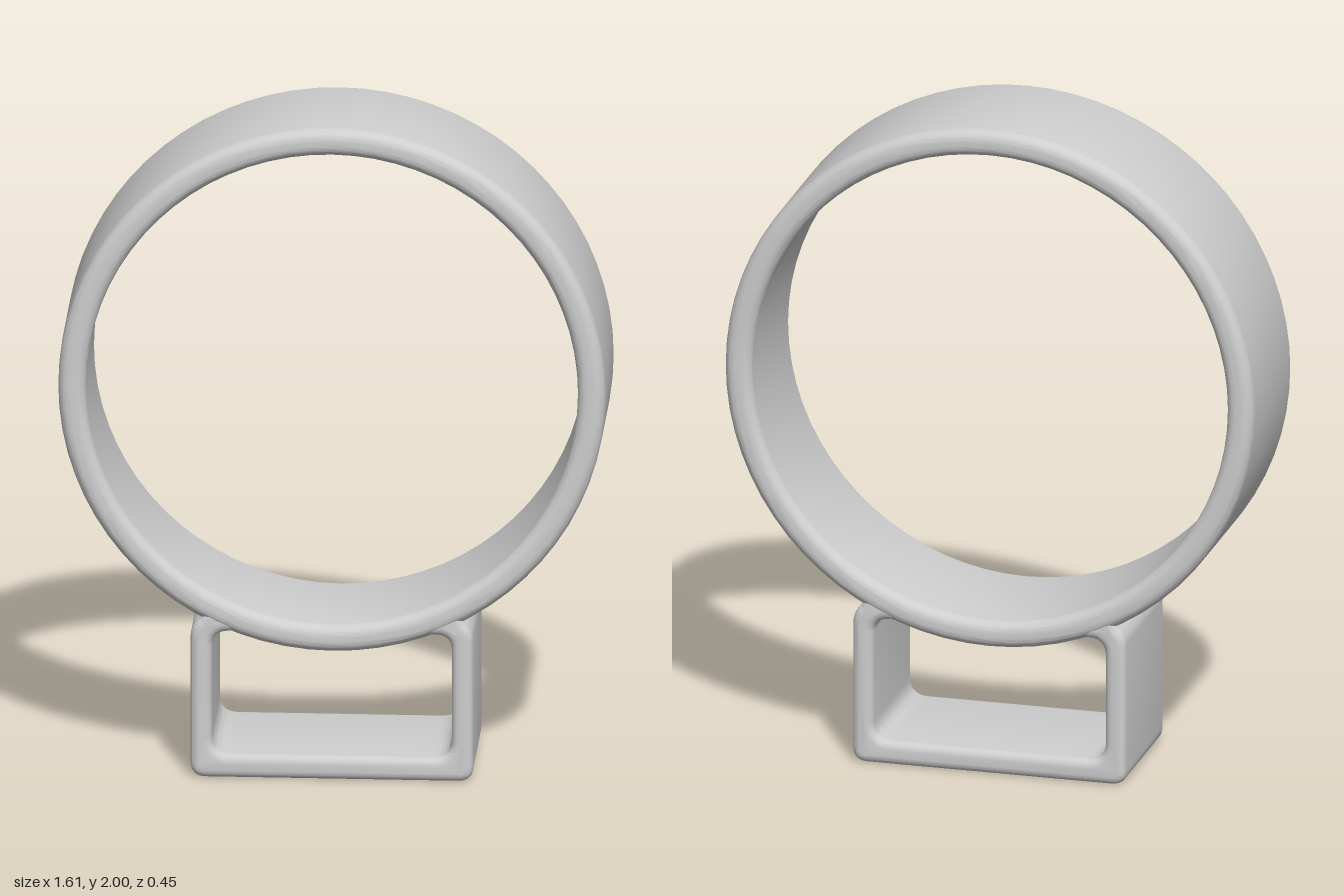
import * as THREE from 'three';
import { toCreasedNormals } from 'three/addons/utils/BufferGeometryUtils.js';

const CY = 1.196;    // height of the ring centre
const OUTER = 0.804;
const INNER = 0.722;
const HALF = 0.226;  // half depth of the band

// Closed band with a rounded rectangular section, swept about the z axis
function ringGeometry() {
  const r = 0.034, q = Math.PI / 2;
  const section = new THREE.Path();
  section.moveTo(OUTER, -HALF + r);
  section.lineTo(OUTER, HALF - r);
  section.absarc(OUTER - r, HALF - r, r, 0, q, false);
  section.absarc(INNER + r, HALF - r, r, q, 2 * q, false);
  section.absarc(INNER + r, -HALF + r, r, 2 * q, 3 * q, false);
  section.absarc(OUTER - r, -HALF + r, r, 3 * q, 4 * q, false);
  return toCreasedNormals(new THREE.LatheGeometry(section.getPoints(5), 72).rotateX(Math.PI / 2), 0.6);
}

// Arc concentric with the ring, from +x to -x along its underside
function underArc(path, radius, x) {
  const a = Math.acos(x / radius);
  path.absarc(0, CY, radius, -a, a - Math.PI, true);
}

// Rectangular loop whose top merges into the band
function bracketGeometry() {
  const w = 0.415, r = 0.045;
  const shape = new THREE.Shape();
  shape.moveTo(-w + r, 0);
  shape.lineTo(w - r, 0);
  shape.quadraticCurveTo(w, 0, w, r);
  shape.lineTo(w, 0.43);
  shape.quadraticCurveTo(w, 0.465, 0.388, 0.487);
  underArc(shape, 0.737, 0.36);
  shape.lineTo(-0.388, 0.487);
  shape.quadraticCurveTo(-w, 0.465, -w, 0.43);
  shape.lineTo(-w, r);
  shape.quadraticCurveTo(-w, 0, -w + r, 0);

  const iw = 0.352, iy = 0.072, ir = 0.055;
  const hole = new THREE.Path();
  hole.moveTo(-iw + ir, iy);
  hole.lineTo(iw - ir, iy);
  hole.quadraticCurveTo(iw, iy, iw, iy + ir);
  hole.lineTo(iw, 0.4);
  hole.quadraticCurveTo(iw, 0.455, 0.29, 0.448);
  underArc(hole, 0.8, 0.285);
  hole.quadraticCurveTo(-iw, 0.455, -iw, 0.4);
  hole.lineTo(-iw, iy + ir);
  hole.quadraticCurveTo(-iw, iy, -iw + ir, iy);
  shape.holes.push(hole);

  const bevel = 0.024, half = 0.221;
  const geo = new THREE.ExtrudeGeometry(shape, {
    depth: 2 * (half - bevel), bevelThickness: bevel, bevelSize: bevel,
    bevelOffset: -bevel, bevelSegments: 4, curveSegments: 14,
  });
  geo.translate(0, 0, bevel - half);
  return toCreasedNormals(geo, 0.7);
}

export function createModel() {
  const group = new THREE.Group();
  group.name = 'ringClip';
  const grey = new THREE.MeshStandardMaterial({ color: 0xcecece });
  grey.name = 'light grey';

  const ring = new THREE.Mesh(ringGeometry(), grey);
  ring.name = 'ringBand';
  ring.position.y = CY;

  const bracket = new THREE.Mesh(bracketGeometry(), grey);
  bracket.name = 'baseLoop';

  group.add(ring, bracket);
  return group;
}
